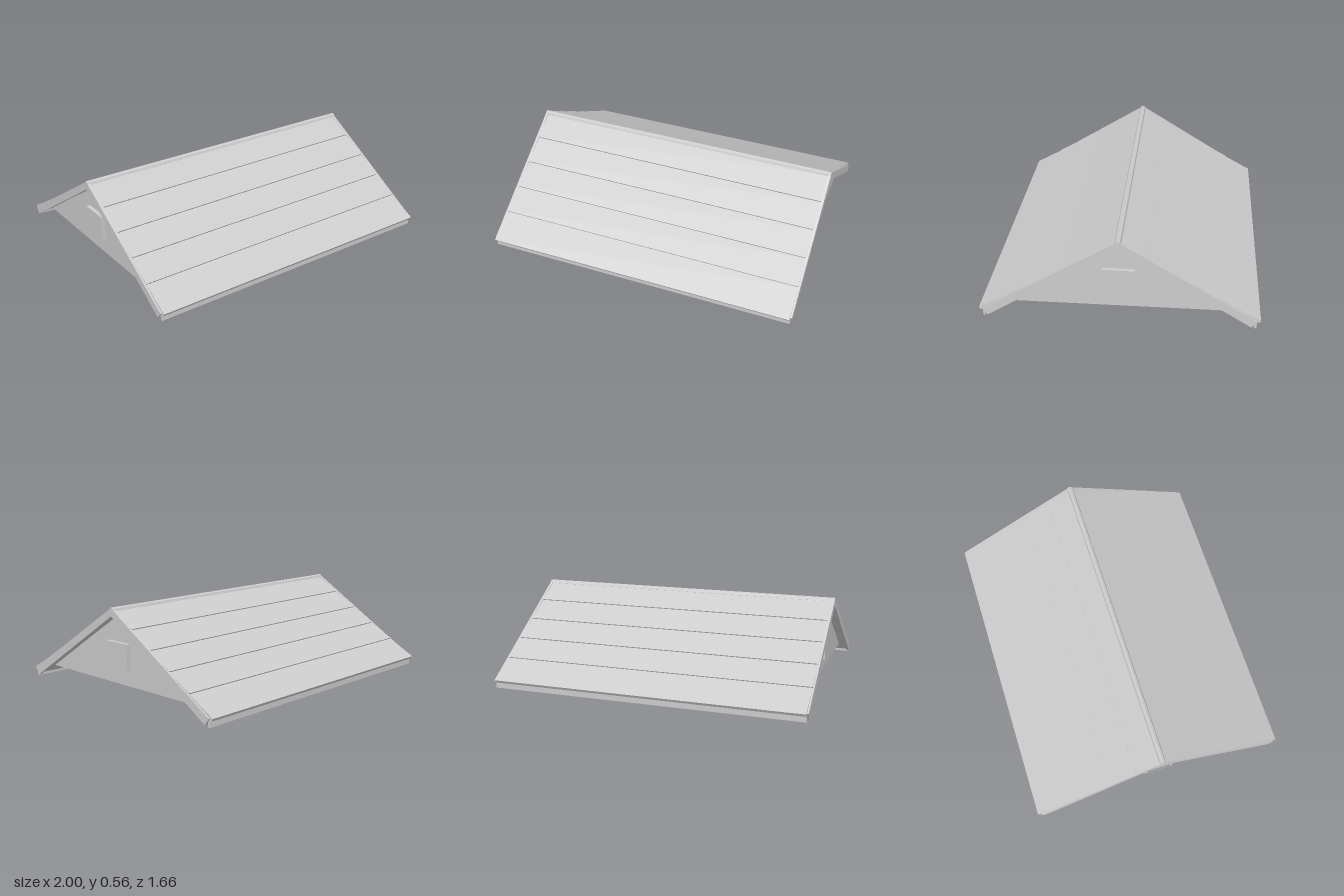
import * as THREE from 'three';

const material = new THREE.MeshStandardMaterial({ color: 0xcccccc, flatShading: true });

// Extrudes a [z, y] outline along x, from x0 to x1
function prism(name, points, x0, x1, hole) {
  const toVec = ([z, y]) => new THREE.Vector2(-z, y);
  const shape = new THREE.Shape(points.map(toVec));
  if (hole) shape.holes.push(new THREE.Path(hole.map(toVec)));
  const geometry = new THREE.ExtrudeGeometry(shape, { depth: x1 - x0, bevelEnabled: false });
  geometry.rotateY(Math.PI / 2).translate(x0, 0, 0);
  const mesh = new THREE.Mesh(geometry, material);
  mesh.name = name;
  return mesh;
}

const rect = (w, y0, y1) => [[-w, y0], [w, y0], [w, y1], [-w, y1]];

// Completes half an outline (ridge to ridge, z >= 0) with its mirror image
const chevron = ([top, outer, inner, bottom]) => [
  top, outer, inner, bottom, [-inner[0], inner[1]], [-outer[0], outer[1]],
];

export function createModel() {
  const roof = new THREE.Group();
  roof.name = 'gableRoof';

  // Structural deck under the shingles
  roof.add(prism('roofDeck', chevron([[0, 0.538], [0.805, 0.041], [0.787, 0.018], [0, 0.505]]), -0.985, 0.985));

  // Lower edges of the shingle courses, from ridge to eave
  const edges = [[0.01, 0.545], [0.17, 0.447], [0.33, 0.349], [0.49, 0.254], [0.65, 0.16], [0.832, 0.055]];
  for (const side of [1, -1]) {
    const slope = new THREE.Group();
    slope.name = side > 0 ? 'frontSlope' : 'backSlope';
    for (let i = 0; i < edges.length - 1; i++) {
      const [z0, y0] = edges[i];
      const [z1, y1] = edges[i + 1];
      const t = i === edges.length - 2 ? 0.02 : 0.012;
      const outline = [[z0, y0 - 0.005], [z1, y1], [z1 - t * 0.53, y1 - t * 0.85], [z0 - t * 0.53, y0 - 0.005 - t * 0.85]];
      slope.add(prism('shingleCourse' + (i + 1), outline.map(([z, y]) => [side * z, y]), -0.99, 0.99));
    }
    // Fascia along the eave
    const fascia = new THREE.Mesh(new THREE.BoxGeometry(1.98, 0.04, 0.014), material);
    fascia.name = 'eaveFascia';
    fascia.position.set(0, 0.02, side * 0.802);
    slope.add(fascia);
    roof.add(slope);
  }

  // Ridge cap
  const ridge = new THREE.Mesh(new THREE.CylinderGeometry(0.02, 0.02, 2, 8), material);
  ridge.name = 'ridgeCap';
  ridge.rotation.z = Math.PI / 2;
  ridge.position.y = 0.535;
  roof.add(ridge);

  // Gable ends: recessed wall, window frame and rake boards
  for (const side of [1, -1]) {
    const gable = new THREE.Group();
    gable.name = side > 0 ? 'leftGable' : 'rightGable';
    const part = (name, points, x0, x1, hole) =>
      gable.add(prism(name, points, Math.min(side * x0, side * x1), Math.max(side * x0, side * x1), hole));
    part('gableWall', [[-0.68, 0.08], [0.68, 0.08], [0, 0.508]], 0.89, 0.94);
    part('windowFrame', rect(0.095, 0.17, 0.34), 0.935, 0.965, rect(0.075, 0.185, 0.325));
    part('rakeBoards', chevron([[0, 0.552], [0.81, 0.052], [0.78, 0.01], [0, 0.502]]), 0.982, 1);
    roof.add(gable);
  }
  return roof;
}
